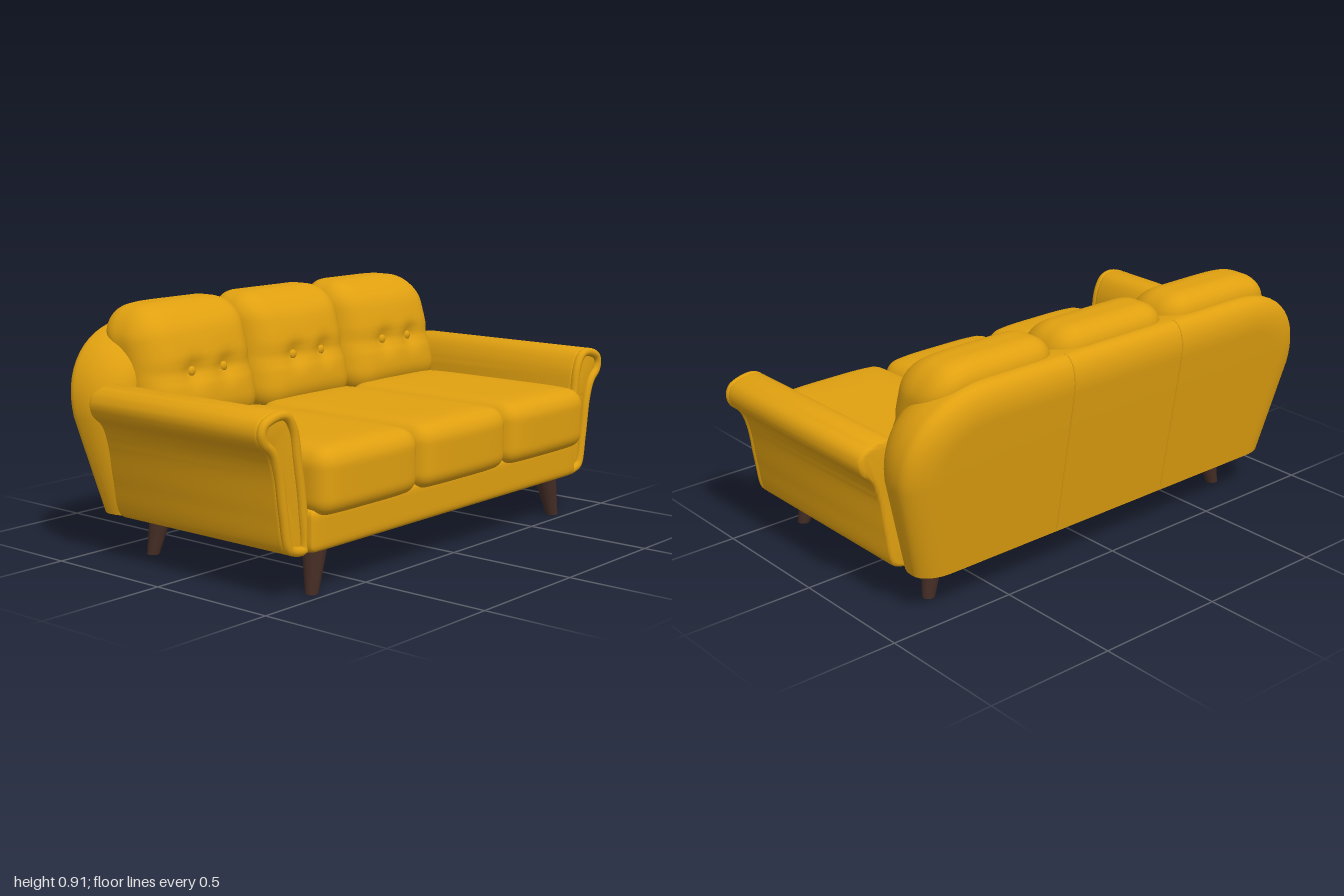
import * as THREE from 'three';
import { mergeVertices, toCreasedNormals } from 'three/addons/utils/BufferGeometryUtils.js';

const fabric = new THREE.MeshStandardMaterial({ color: 0xe0a010 });
fabric.name = 'mustardFabric';
const wood = new THREE.MeshStandardMaterial({ color: 0x452d25 });
wood.name = 'darkWood';

function add(parent, name, geometry, material, x = 0, y = 0, z = 0) {
  const mesh = new THREE.Mesh(geometry, material);
  mesh.name = name;
  mesh.position.set(x, y, z);
  parent.add(mesh);
  return mesh;
}

// Moves every vertex by a rule that edits the vector in place
function reshape(geometry, rule) {
  const pos = geometry.attributes.position;
  const v = new THREE.Vector3();
  for (let i = 0; i < pos.count; i++) {
    rule(v.fromBufferAttribute(pos, i));
    pos.setXYZ(i, v.x, v.y, v.z);
  }
  return geometry;
}

// Smooth rounded block, then shaped by a rule
function pillow(w, h, d, r, rule, n = 28) {
  let g = new THREE.BoxGeometry(2, 2, 2, n, n, n);
  g.deleteAttribute('uv');
  g.deleteAttribute('normal');
  g = mergeVertices(g);
  const half = new THREE.Vector3(w / 2, h / 2, d / 2);
  const core = half.clone().subScalar(r);
  const low = core.clone().negate();
  const inner = new THREE.Vector3();
  reshape(g, (p) => {
    p.set(...p.toArray().map((a) => Math.sin((a * Math.PI) / 2))).multiply(half);
    inner.copy(p).clamp(low, core);
    p.sub(inner).normalize().multiplyScalar(r).add(inner);
    if (rule) rule(p);
  });
  g.computeVertexNormals();
  return g;
}

const bell = (t, width) => Math.exp(-(t * t) / (width * width));

// Seat cushion with a crowned top and softly bowed front
function seatCushion(w) {
  const h = 0.225, d = 0.82;
  return pillow(w, h, d, 0.06, (p) => {
    const u = (2 * p.x) / w, t = (2 * p.z) / d;
    if (p.y > 0) p.y += 0.018 * (1 - u ** 4) * (1 - t ** 6) * (p.y / (h / 2));
    if (p.z > 0) p.z -= 0.02 * u ** 4 * (p.z / (d / 2));
  });
}

// Tufted back cushion, leaning backwards; side is -1, 0 or 1
function backCushion(w, side) {
  const h = 0.45, d = 0.26;
  return pillow(w, h, d, 0.105, (p) => {
    const u = (2 * p.x) / w, v = (2 * p.y) / h;
    if (p.z > 0) {
      const f = p.z / (d / 2);
      p.z += f * 0.03 * (1 - u * u) * (1 - v * v);
      p.z -= f * 0.012 * bell(p.y + 0.015, 0.025);
      for (const b of [-0.08, 0.08]) p.z -= f * 0.025 * bell(Math.hypot(p.x - b, p.y + 0.015), 0.04);
    }
    p.z -= 0.25 * p.y;
    if (v > 0) p.y -= 0.05 * v * Math.max(0, u * side) ** 4;
    // squarer lower corners
    if (v < 0) p.x *= 1 + 0.06 * v * v * Math.abs(u) * (1 - Math.abs(u));
  });
}

// Scrolled arm outline in the x-y plane
const armOutline = [
  [0.775, 0.157], [0.84, 0.157], [0.874, 0.178], [0.9, 0.3], [0.922, 0.44], [0.947, 0.505],
  [0.988, 0.545], [1.0, 0.585], [0.985, 0.622], [0.945, 0.642], [0.89, 0.65], [0.85, 0.635],
  [0.817, 0.58], [0.8, 0.48], [0.775, 0.3],
];

function arm(side) {
  const group = new THREE.Group();
  group.name = side > 0 ? 'leftArm' : 'rightArm';
  const curve = new THREE.CatmullRomCurve3(
    armOutline.map(([x, y]) => new THREE.Vector3(x, y, 0)), true, 'centripetal');
  const inset = (amount) => curve.getSpacedPoints(72).slice(0, -1).map((p, i) => {
    const t = curve.getTangentAt(i / 72);
    return new THREE.Vector3(side * (p.x - t.y * amount), p.y + t.x * amount, 0);
  });
  const shape = new THREE.Shape(inset(0.016).map((p) => new THREE.Vector2(p.x, p.y)));
  const body = new THREE.ExtrudeGeometry(shape, {
    depth: 0.77, bevelEnabled: true, bevelSize: 0.015, bevelThickness: 0.018, bevelSegments: 4,
  });
  add(group, 'armBody', toCreasedNormals(body, 0.7), fabric, 0, 0, -0.317);
  const rim = new THREE.CatmullRomCurve3(inset(0.017), true);
  add(group, 'armPiping', new THREE.TubeGeometry(rim, 110, 0.017, 10, true), fabric, 0, 0, 0.473);
  return group;
}

// Back shell: bevelled outline, leaning back, with a broad rounded front edge
const backPlane = (y) => -0.48 - 0.155 * (y - 0.16);
const backRoll = 0.13;

function backShell() {
  const s = new THREE.Shape();
  s.moveTo(-0.74, 0.16);
  s.lineTo(0.74, 0.16);
  s.lineTo(0.81, 0.53);
  s.bezierCurveTo(0.825, 0.65, 0.74, 0.715, 0.6, 0.715);
  s.lineTo(-0.6, 0.715);
  s.bezierCurveTo(-0.74, 0.715, -0.825, 0.65, -0.81, 0.53);
  s.closePath();
  const g = new THREE.ExtrudeGeometry(s, {
    depth: 1, bevelEnabled: true, bevelSize: backRoll, bevelThickness: 1, bevelSegments: 10, curveSegments: 16,
  });
  reshape(g, (p) => {
    p.y = Math.max(p.y, 0.16);
    const back = backPlane(p.y);
    const ridge = back + 0.08, front = -0.29;
    if (p.z <= 0) p.z = back + 0.07 * (p.z + 1);
    else if (p.z <= 1) p.z = back + 0.07 + 0.01 * p.z;
    else p.z = ridge + (front - ridge) * (p.z - 1);
  });
  return toCreasedNormals(g, 0.8);
}

// Stitched seam running up the back and over the top
function backSeam(x) {
  const points = [new THREE.Vector3(x, 0.17, backPlane(0.17)), new THREE.Vector3(x, 0.45, backPlane(0.45))];
  for (let i = 0; i <= 6; i++) {
    const a = (i / 6) * (Math.PI / 2);
    const y = 0.715 + backRoll * Math.sin(a);
    points.push(new THREE.Vector3(x, y, backPlane(y) + 0.07 * (1 - Math.cos(a))));
  }
  return new THREE.TubeGeometry(new THREE.CatmullRomCurve3(points), 40, 0.003, 6);
}

export function createModel() {
  const sofa = new THREE.Group();
  sofa.name = 'sofa';

  // Frame
  add(sofa, 'base', pillow(1.58, 0.155, 0.93, 0.03, null, 14), fabric, 0, 0.2325, 0.05);
  add(sofa, 'backShell', backShell(), fabric);
  for (const x of [-0.26, 0.26]) add(sofa, 'backSeam', backSeam(x), fabric);
  for (const side of [-1, 1]) sofa.add(arm(side));

  // Cushions and buttons
  for (const side of [-1, 0, 1]) {
    add(sofa, 'seatCushion', seatCushion(0.522), fabric, side * 0.523, 0.3925, 0.16);
    const cushion = new THREE.Group();
    cushion.name = 'backCushion';
    cushion.position.set(side * 0.535, 0.685, -0.345);
    add(cushion, 'cushionBody', backCushion(side ? 0.55 : 0.53, side), fabric);
    for (const x of [-0.08, 0.08]) {
      const button = add(cushion, 'button', new THREE.SphereGeometry(0.018, 16, 10), fabric, x, -0.015, 0.131);
      button.scale.z = 0.6;
    }
    sofa.add(cushion);
  }

  // Tapered legs, splayed outwards
  for (const sx of [-1, 1]) {
    for (const sz of [-1, 1]) {
      const leg = new THREE.CylinderGeometry(0.044, 0.023, 0.16, 20);
      reshape(leg, (p) => {
        const drop = 0.5 - p.y / 0.16;
        p.x += sx * 0.033 * drop;
        p.z += sz * 0.015 * drop;
      });
      leg.computeVertexNormals();
      add(sofa, sz > 0 ? 'frontLeg' : 'rearLeg', leg, wood, sx * 0.685, 0.08, sz > 0 ? 0.432 : -0.308);
    }
  }
  return sofa;
}
